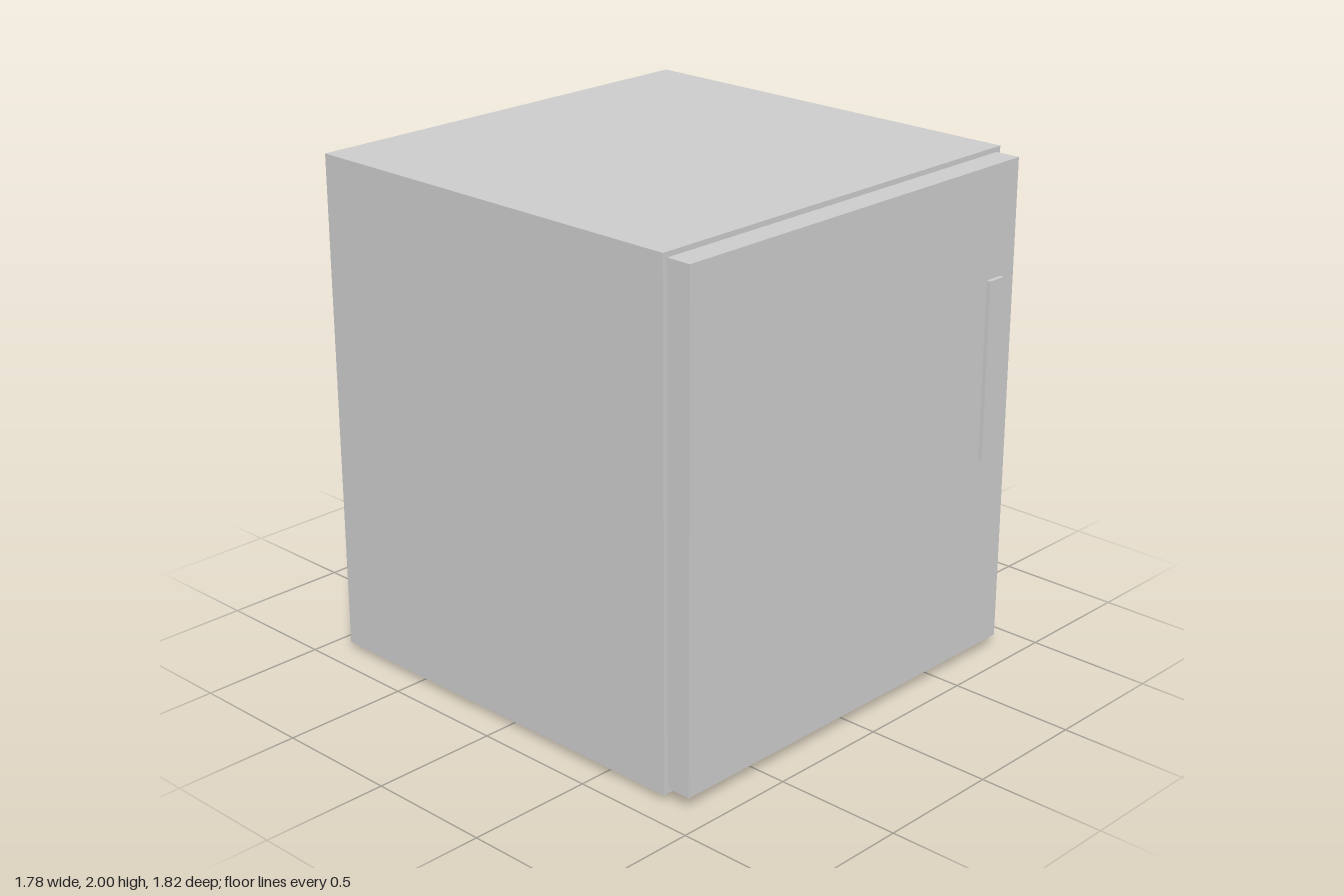
import * as THREE from 'three';

// Box given by its lower and upper limits along each axis
function block(name, [x0, x1], [y0, y1], [z0, z1], material) {
  const mesh = new THREE.Mesh(new THREE.BoxGeometry(x1 - x0, y1 - y0, z1 - z0), material);
  mesh.position.set((x0 + x1) / 2, (y0 + y1) / 2, (z0 + z1) / 2);
  mesh.name = name;
  return mesh;
}

export function createModel() {
  const grey = new THREE.MeshStandardMaterial({ color: 0xcccccc });
  const dark = new THREE.MeshStandardMaterial({ color: 0x555555 });

  const model = new THREE.Group();
  model.name = 'compactFridge';
  model.add(
    // Cabinet, with a slightly smaller door standing in front of it
    block('cabinet', [-0.89, 0.89], [0.025, 2], [-0.91, 0.793], grey),
    block('door', [-0.87, 0.87], [0.045, 1.98], [0.793, 0.893], grey),
    // Flat upright handle on the door's left edge
    block('handle', [0.71, 0.79], [0.835, 1.545], [0.893, 0.91], grey),
    // Recessed dark plinth
    block('base', [-0.79, 0.79], [0, 0.025], [-0.77, 0.735], dark),
  );
  return model;
}
